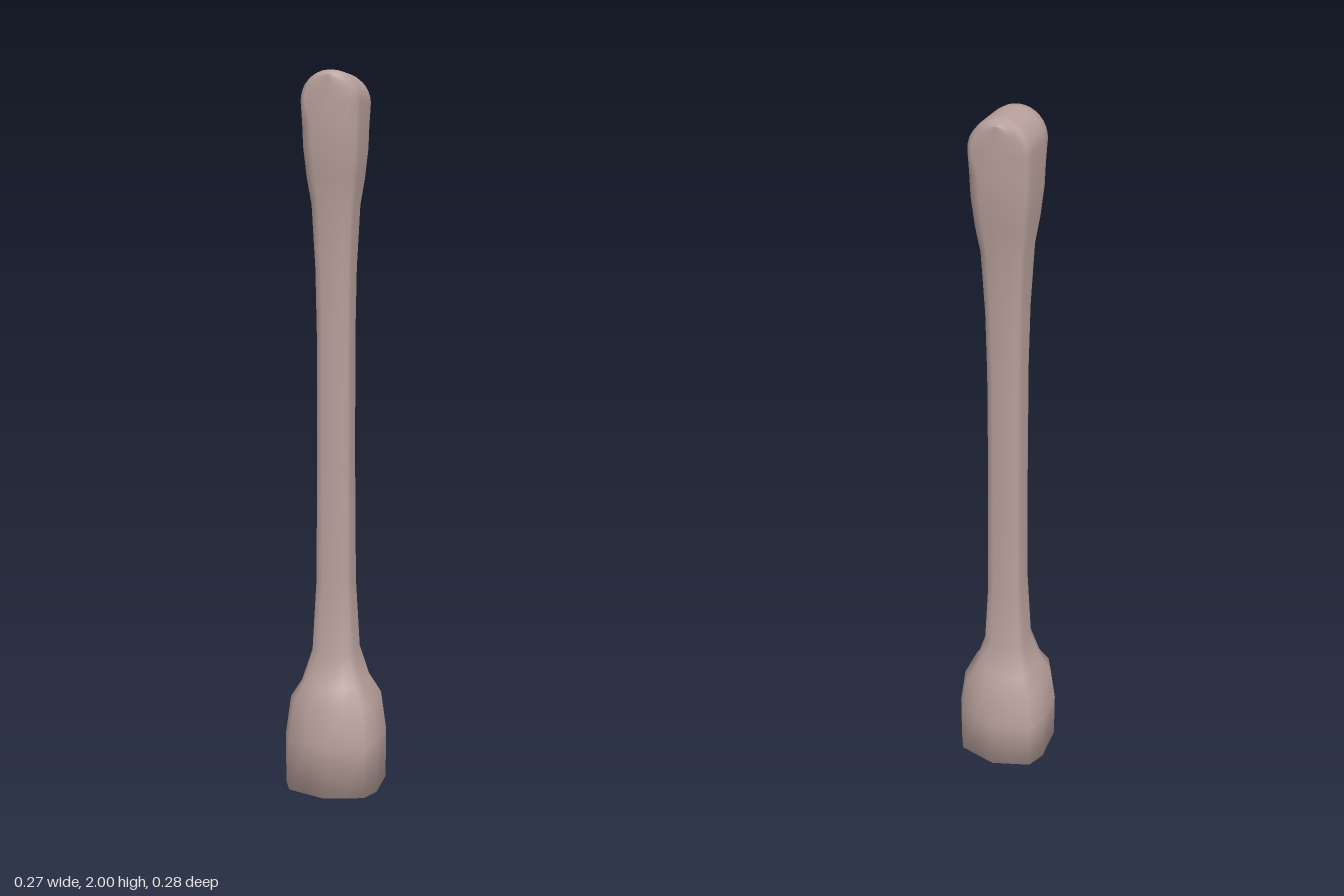
import * as THREE from 'three';
import { mergeVertices } from 'three/addons/utils/BufferGeometryUtils.js';

// Quarter cross-sections as fractions of the half width and half depth
const FOOT = [[1, 0.4], [0.815, 0.77], [0.41, 0.885], [0, 1]];
const HEAD = [[1, 0.55], [0.93, 0.88], [0.6, 1], [0, 1]];

// Mirrors a quarter of four [x, y, z] points into a full ring of 14 points
function mirrorRing(q) {
  const flip = (p, sx, sz) => [p[0] * sx, p[1], p[2] * sz];
  const [a, b, c, d] = q;
  return [
    ...[a, b, c, d].map(p => flip(p, 1, 1)),
    ...[c, b, a].map(p => flip(p, -1, 1)),
    ...[a, b, c, d].map(p => flip(p, -1, -1)),
    ...[c, b, a].map(p => flip(p, 1, -1)),
  ];
}

// Skins a stack of rings and closes the bottom with a fan
function loft(rings) {
  const n = rings[0].length;
  const index = [];
  for (let r = 0; r < rings.length - 1; r++) {
    for (let i = 0; i < n; i++) {
      const a = r * n + i, b = r * n + (i + 1) % n;
      index.push(a, a + n, b, b, a + n, b + n);
    }
  }
  const centre = rings.length * n;
  for (let i = 0; i < n; i++) index.push(centre, i, (i + 1) % n);
  const points = [...rings.flat(), [0, 0, 0]];
  let geo = new THREE.BufferGeometry();
  geo.setAttribute('position', new THREE.Float32BufferAttribute(points.flat(), 3));
  geo.setIndex(index);
  geo = mergeVertices(geo);
  // drop triangles collapsed along the crown ridge
  const id = geo.index.array, kept = [];
  for (let i = 0; i < id.length; i += 3) {
    const [a, b, c] = [id[i], id[i + 1], id[i + 2]];
    if (a !== b && b !== c && c !== a) kept.push(a, b, c);
  }
  geo.setIndex(kept);
  geo.computeVertexNormals();
  return geo;
}

export function createModel() {
  const group = new THREE.Group();
  group.name = 'post';

  // Foot, shaft and head: height, half width, half depth, blend from foot to head section
  const levels = [
    [0, 0.135, 0.14, 0], [0.15, 0.135, 0.14, 0], [0.26, 0.121, 0.126, 0],
    [0.31, 0.09, 0.093, 0.2], [0.4, 0.062, 0.064, 0.5], [0.6, 0.051, 0.052, 0.7],
    [0.95, 0.048, 0.049, 0.8], [1.3, 0.048, 0.049, 0.8], [1.48, 0.051, 0.053, 0.8],
    [1.65, 0.059, 0.061, 0.9], [1.72, 0.069, 0.072, 1], [1.8, 0.077, 0.081, 1],
    [1.86, 0.079, 0.083, 1],
  ];
  const rings = levels.map(([y, hx, hz, k]) => mirrorRing(FOOT.map((f, i) => [
    hx * THREE.MathUtils.lerp(f[0], HEAD[i][0], k), y,
    hz * THREE.MathUtils.lerp(f[1], HEAD[i][1], k),
  ])));

  // Crown: half cylinder along z, with smaller arches on its end faces
  const radius = 0.08, steps = 8;
  const arches = [[1, 0.55], [0.97, 0.88], [0.82, 1], [0, 1]];
  for (let s = 0; s <= steps; s++) {
    const t = (s / steps) * Math.PI / 2;
    rings.push(mirrorRing(arches.map(([f, z], i) => [
      radius * f * Math.cos(t),
      1.92 + radius * (i === 3 ? 0.82 : f) * Math.sin(t),
      0.083 * z,
    ])));
  }

  const material = new THREE.MeshStandardMaterial({ color: 0xb8a09b });
  const leg = new THREE.Mesh(loft(rings), material);
  leg.name = 'leg';
  group.add(leg);
  return group;
}
